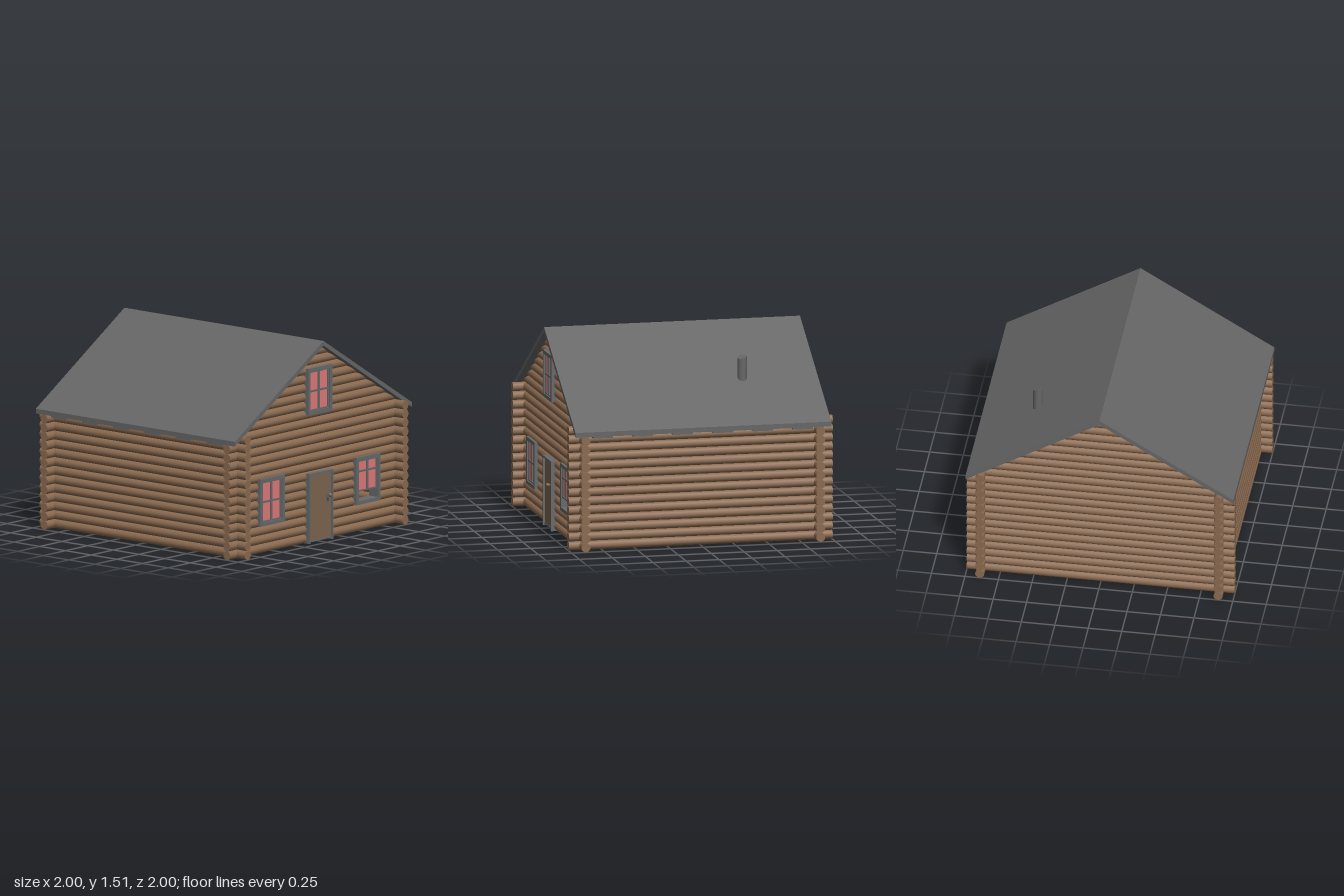
import * as THREE from 'three';

const mat = (color) => new THREE.MeshStandardMaterial({ color });
const WOOD = mat(0x8a6a50), ROOF = mat(0x666666), FRAME = mat(0x666a6a);
const PANE = mat(0xe07878), DOOR = mat(0x7d6550), FLOOR = mat(0x4a392c), DARK = mat(0x333333);

const PITCH = 0.0665, R = 0.0338, WALL = 0.89;
const SLOPE = 0.61, RIDGE = 1.51, THICK = 0.036;

function add(parent, name, geometry, material, x = 0, y = 0, z = 0) {
  const mesh = new THREE.Mesh(geometry, material);
  mesh.name = name;
  mesh.position.set(x, y, z);
  parent.add(mesh);
  return mesh;
}
// Box given by its x and y limits, centred on z
function slab(parent, name, x0, x1, y0, y1, z, depth, material) {
  return add(parent, name, new THREE.BoxGeometry(x1 - x0, y1 - y0, depth), material, (x0 + x1) / 2, (y0 + y1) / 2, z);
}

// Log along x from x0 to x1, with its ends cut to the roof slope
function crossLog(parent, x0, x1, y, z) {
  const geo = new THREE.CylinderGeometry(R, R, x1 - x0, 14);
  geo.rotateZ(Math.PI / 2).translate((x0 + x1) / 2, y, z);
  const p = geo.attributes.position;
  for (let i = 0; i < p.count; i++) {
    const limit = Math.max(0, Math.min(1, (RIDGE - THICK - p.getY(i)) / SLOPE));
    p.setX(i, THREE.MathUtils.clamp(p.getX(i), -limit, limit));
  }
  add(parent, 'gableLog', geo, WOOD);
}

function walls() {
  const g = new THREE.Group();
  g.name = 'logWalls';
  for (let i = 0; i < 22; i++) {
    const y = R + i * PITCH;
    crossLog(g, -1, 1, y, -WALL);
    // The front wall is open behind the raised sash
    if (y > 0.22 && y < 0.55) {
      crossLog(g, -1, 0.42, y, WALL);
      crossLog(g, 0.655, 1, y, WALL);
    } else crossLog(g, -1, 1, y, WALL);
    if (i < 14) {
      for (const s of [-1, 1]) {
        const geo = new THREE.CylinderGeometry(R, R, 2, 14).rotateX(Math.PI / 2);
        add(g, 'sideLog', geo, WOOD, s * WALL, y, 0);
      }
    }
  }
  return g;
}

function roof() {
  const g = new THREE.Group();
  g.name = 'roof';
  const eave = RIDGE - SLOPE;
  const shape = new THREE.Shape([
    [-1, eave - THICK], [0, RIDGE - THICK], [1, eave - THICK], [1, eave], [0, RIDGE], [-1, eave],
  ].map(([x, y]) => new THREE.Vector2(x, y)));
  const geo = new THREE.ExtrudeGeometry(shape, { depth: 1.94, bevelEnabled: false }).translate(0, 0, -0.97);
  add(g, 'roofPanels', geo, ROOF);
  // Short boards under the eaves
  for (const s of [-1, 1]) {
    for (let i = 0; i < 6; i++) {
      add(g, 'eaveBoard', new THREE.BoxGeometry(0.05, 0.025, 0.15), ROOF, s * 0.965, 0.863, (i - 2.5) * 0.303);
    }
  }
  // Stovepipe with a slanted top
  const pipe = new THREE.CylinderGeometry(0.035, 0.035, 0.24, 20);
  const p = pipe.attributes.position;
  for (let i = 0; i < p.count; i++) {
    if (p.getY(i) > 0) p.setY(i, p.getY(i) - 0.2 * p.getX(i) - 0.25 * p.getZ(i));
  }
  pipe.computeVertexNormals();
  add(g, 'stovepipe', pipe, ROOF, 0.55, 1.21, -0.4);
  return g;
}

// Four-pane window; lift raises the sash inside its frame
function windowUnit(x, y0, y1, lift) {
  const g = new THREE.Group();
  g.name = 'window';
  g.position.x = x;
  const w = 0.136, t = 0.027, top = y1 - t;
  for (const s of [-1, 1]) {
    const c = s * (w - t / 2);
    slab(g, 'windowJamb', c - t / 2, c + t / 2, y0, y1, 0.9, 0.09, FRAME);
  }
  slab(g, 'windowHead', -w + t, w - t, top, y1, 0.9, 0.09, FRAME);
  slab(g, 'windowSill', -w + t, w - t, y0, y0 + t, 0.9, 0.09, FRAME);
  // Sash with panes and bars
  const low = y0 + t + lift, iw = w - t, mid = (y0 + y1) / 2 + lift;
  slab(g, 'panes', -iw, iw, low, top, 0.922, 0.008, PANE);
  slab(g, 'uprightBar', -0.007, 0.007, low, top, 0.928, 0.014, FRAME);
  slab(g, 'crossBar', -iw, iw, mid - 0.007, mid + 0.007, 0.928, 0.014, FRAME);
  slab(g, 'sashBottom', -iw, iw, low, low + 0.01, 0.928, 0.014, FRAME);
  slab(g, 'sashTop', -iw, iw, top - 0.008, top, 0.928, 0.014, FRAME);
  for (const s of [-1, 1]) {
    const c = s * (iw - 0.005);
    slab(g, 'sashSide', c - 0.005, c + 0.005, low, top, 0.928, 0.014, FRAME);
  }
  return g;
}

function door() {
  const g = new THREE.Group();
  g.name = 'door';
  slab(g, 'doorPanel', -0.125, 0.122, 0.02, 0.51, 0.922, 0.025, DOOR);
  slab(g, 'doorJamb', -0.137, -0.125, 0, 0.525, 0.92, 0.06, FRAME);
  slab(g, 'doorJamb', 0.122, 0.134, 0, 0.525, 0.92, 0.06, FRAME);
  slab(g, 'doorHead', -0.137, 0.134, 0.51, 0.525, 0.92, 0.06, FRAME);
  slab(g, 'threshold', -0.125, 0.122, 0.008, 0.02, 0.915, 0.045, FRAME);
  // Knob and keyhole plate
  slab(g, 'lockPlate', 0.07, 0.1, 0.28, 0.355, 0.936, 0.005, FRAME);
  const stem = new THREE.CylinderGeometry(0.006, 0.006, 0.03, 10).rotateX(Math.PI / 2);
  add(g, 'knobStem', stem, DOOR, 0.085, 0.34, 0.948);
  add(g, 'knob', new THREE.SphereGeometry(0.015, 14, 10), DOOR, 0.085, 0.34, 0.963);
  const hole = new THREE.CylinderGeometry(0.006, 0.006, 0.003, 10).rotateX(Math.PI / 2);
  add(g, 'keyhole', hole, DARK, 0.085, 0.313, 0.9395);
  slab(g, 'keyholeSlot', 0.082, 0.088, 0.292, 0.313, 0.9395, 0.003, DARK);
  return g;
}

// Plank top on four round legs that reach just through the floor
function furniture(name, x, z, w, d, height, turn) {
  const g = new THREE.Group();
  g.name = name;
  g.position.set(x, 0, z);
  g.rotation.y = turn;
  add(g, name + 'Top', new THREE.BoxGeometry(w + 0.06, 0.025, d + 0.06), WOOD, 0, height, 0);
  for (const sx of [-1, 1]) for (const sz of [-1, 1]) {
    const leg = new THREE.CylinderGeometry(0.016, 0.016, height - 0.012, 10);
    add(g, name + 'Leg', leg, WOOD, sx * w / 2, height / 2 + 0.006, sz * d / 2);
  }
  return g;
}

export function createModel() {
  const model = new THREE.Group();
  model.name = 'logCabin';
  model.add(walls(), roof(), door());
  model.add(windowUnit(-0.545, 0.21, 0.565, 0));
  model.add(windowUnit(0.538, 0.21, 0.565, 0.07));
  model.add(windowUnit(-0.008, 0.965, 1.315, 0));
  slab(model, 'floor', -0.88, 0.88, 0.02, 0.035, 0, 1.76, FLOOR);
  model.add(furniture('table', -0.34, -0.41, 0.36, 0.55, 0.25, 0.34));
  model.add(furniture('bench', -0.46, 0.42, 0.14, 0.45, 0.14, 0));
  return model;
}
